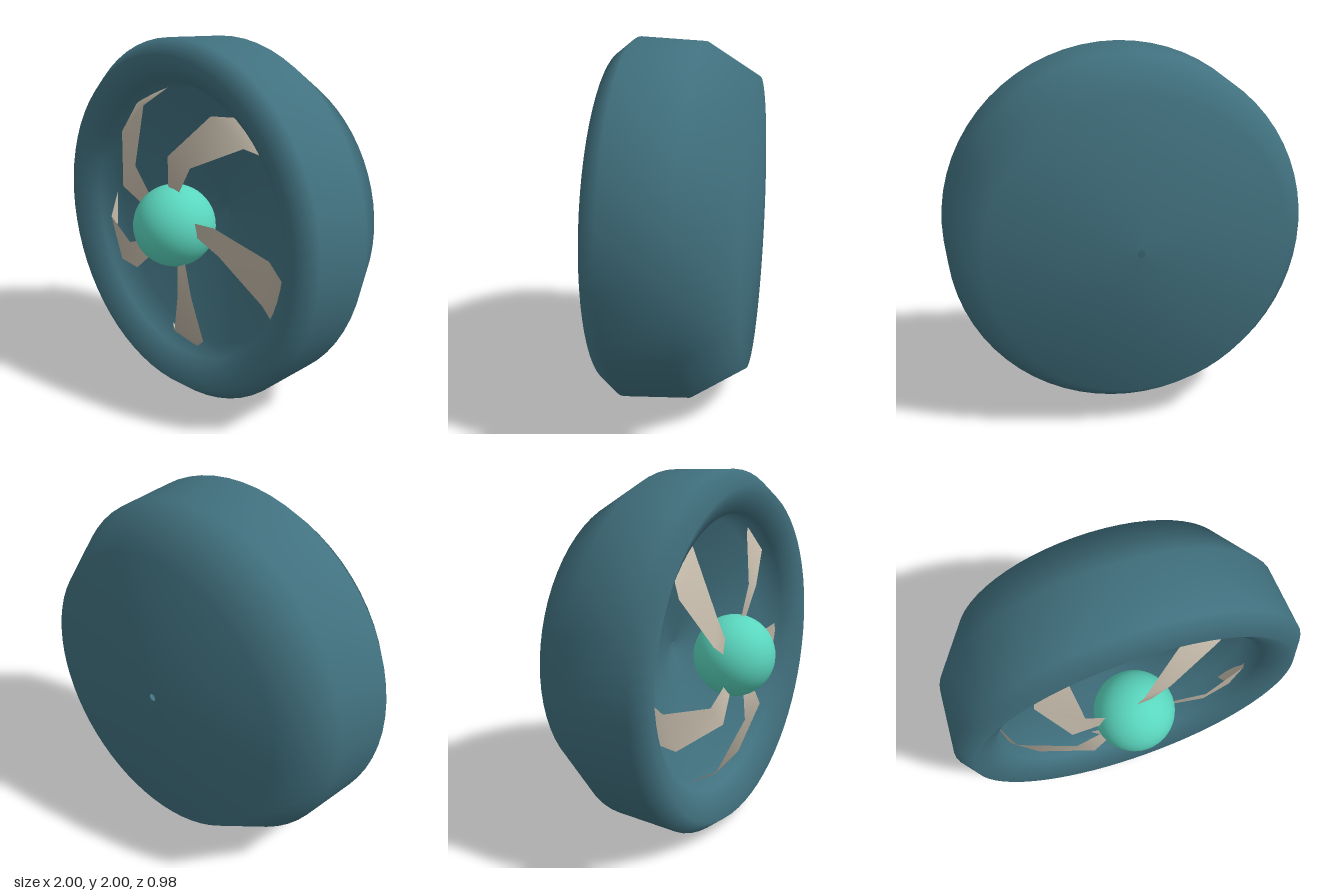
import * as THREE from 'three';

const mat = (name, color, side = THREE.FrontSide) => {
  const m = new THREE.MeshStandardMaterial({ color, side });
  m.name = name;
  return m;
};

// Curved blade: a strip between a leading and a trailing edge
function bladeGeometry() {
  const stations = [
    [[0.0, 0.15, 0.28], [0.06, 0.14, 0.27]],
    [[0.0, 0.23, 0.3], [0.08, 0.21, 0.29]],
    [[0.03, 0.4, 0.325], [0.18, 0.36, 0.3]],
    [[0.24, 0.63, 0.21], [0.47, 0.5, 0.2]],
    [[0.42, 0.635, 0.13], [0.62, 0.43, 0.08]],
  ];
  const index = [];
  for (let i = 0; i < stations.length - 1; i++) {
    const a = i * 2;
    index.push(a, a + 1, a + 2, a + 1, a + 3, a + 2);
  }
  const g = new THREE.BufferGeometry();
  g.setAttribute('position', new THREE.Float32BufferAttribute(stations.flat(2), 3));
  g.setIndex(index);
  g.computeVertexNormals();
  return g;
}

export function createModel() {
  const model = new THREE.Group();
  model.name = 'wheel';
  const teal = mat('dark teal', 0x41717f, THREE.DoubleSide);
  const mint = mat('mint', 0x5ad6be);
  const stone = mat('warm grey', 0xc3b9a9, THREE.DoubleSide);

  // Housing: domed back, rounded rim and a shallow bowl, turned about z
  const profile = [
    [0.02, -0.49], [0.8, -0.45], [0.98, -0.16], [1.0, 0.2], [0.92, 0.3],
    [0.77, 0.21], [0.73, 0.06], [0.02, -0.13],
  ].map(([r, z]) => new THREE.Vector2(r, z));
  const housing = new THREE.Mesh(new THREE.LatheGeometry(profile, 64).rotateX(Math.PI / 2), teal);
  housing.name = 'housing';
  housing.position.y = 1;
  model.add(housing);

  // Round hub
  const hub = new THREE.Mesh(new THREE.SphereGeometry(0.225, 40, 24), mint);
  hub.name = 'hub';
  hub.position.set(0, 1, 0.26);
  model.add(hub);

  // Five swept blades
  const blades = new THREE.Group();
  blades.name = 'blades';
  blades.position.y = 1;
  const shape = bladeGeometry();
  for (let i = 0; i < 5; i++) {
    const blade = new THREE.Mesh(shape, stone);
    blade.name = 'blade';
    blade.rotation.z = (i * Math.PI * 2) / 5;
    blades.add(blade);
  }
  model.add(blades);
  return model;
}
